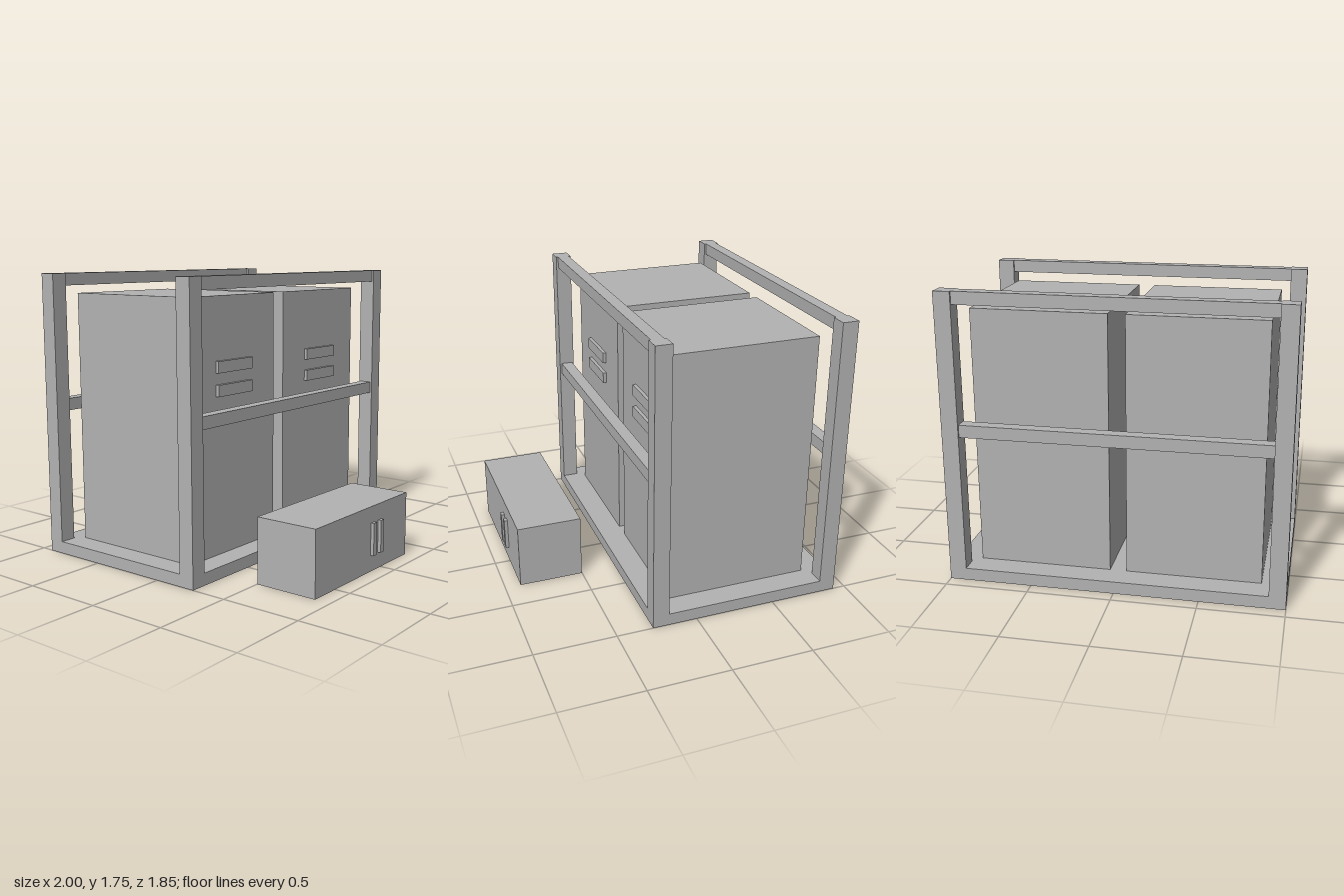
import * as THREE from 'three';

export function createModel() {
  const model = new THREE.Group();
  const grey = new THREE.MeshStandardMaterial({ color: 0xb2b2b2 });
  grey.name = 'grey';

  // Adds a box given its extents along each axis
  const addBox = (parent, name, [x0, x1], [y0, y1], [z0, z1]) => {
    const mesh = new THREE.Mesh(new THREE.BoxGeometry(x1 - x0, y1 - y0, z1 - z0), grey);
    mesh.position.set((x0 + x1) / 2, (y0 + y1) / 2, (z0 + z1) / 2);
    mesh.name = name;
    parent.add(mesh);
  };
  const addGroup = (name) => {
    const group = new THREE.Group();
    group.name = name;
    model.add(group);
    return group;
  };

  // Open rack: base slab, four corner posts, two rails at the front and back
  const rack = addGroup('rack');
  addBox(rack, 'base', [-1, 1], [0, 0.075], [-0.923, 0.277]);
  for (const [side, z] of [['front', 0.227], ['back', -0.873]]) {
    addBox(rack, side + 'RightPost', [-1, -0.9], [0.075, 1.75], [z - 0.05, z + 0.05]);
    addBox(rack, side + 'LeftPost', [0.9, 1], [0.075, 1.75], [z - 0.05, z + 0.05]);
    addBox(rack, side + 'TopRail', [-0.9, 0.9], [1.675, 1.75], [z - 0.0375, z + 0.0375]);
    addBox(rack, side + 'MiddleRail', [-0.9, 0.9], [0.9, 0.975], [z - 0.0375, z + 0.0375]);
  }

  // Two tall cabinets, each with two horizontal bars on the front
  for (const [name, x] of [['rightCabinet', -0.45], ['leftCabinet', 0.45]]) {
    const cabinet = addGroup(name);
    addBox(cabinet, 'cabinetBody', [x - 0.4, x + 0.4], [0.075, 1.63], [-0.773, 0.127]);
    addBox(cabinet, 'upperBar', [x - 0.16, x + 0.16], [1.18, 1.25], [0.127, 0.149]);
    addBox(cabinet, 'lowerBar', [x - 0.16, x + 0.16], [1.04, 1.11], [0.127, 0.149]);
  }

  // Low chest in front with a pair of upright handles
  const chest = addGroup('chest');
  addBox(chest, 'chestBody', [-0.7, 0.3], [0, 0.4], [0.502, 0.902]);
  addBox(chest, 'rightHandle', [-0.12, -0.085], [0.1, 0.3], [0.902, 0.923]);
  addBox(chest, 'leftHandle', [-0.038, -0.003], [0.1, 0.3], [0.902, 0.923]);

  return model;
}
